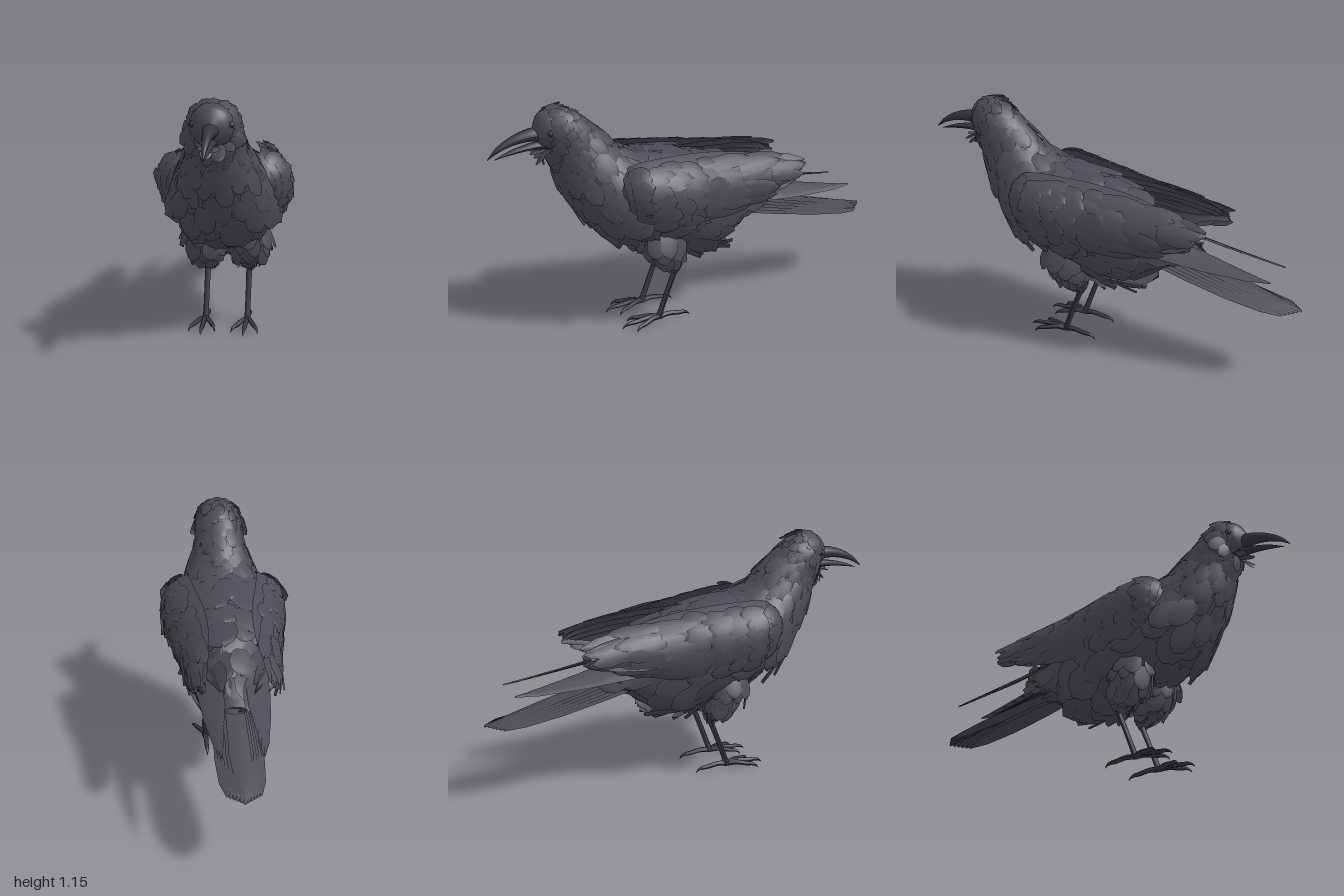
import * as THREE from 'three';
import { mergeGeometries } from 'three/addons/utils/BufferGeometryUtils.js';

const V = (x, y, z) => new THREE.Vector3(x, y, z);
const curve = pts => new THREE.CatmullRomCurve3(pts.map(p => V(...p)));
const plumeMat = new THREE.MeshStandardMaterial({ color: 0x4a4a52, side: THREE.DoubleSide });
const hornMat = new THREE.MeshStandardMaterial({ color: 0x36363a, side: THREE.DoubleSide });

let seed = 7;
const rand = () => (seed = (seed * 16807) % 2147483647) / 2147483647;
const jitter = a => (rand() - 0.5) * 2 * a;

// Surface of elliptical rings along a spine: rows are [x, y, z, halfWidth, halfHeight]
function tubeSurface(rows) {
  const spine = curve(rows.map(r => r.slice(0, 3)));
  const size = curve(rows.map(r => [r[3], r[4], 0]));
  return (u, v) => {
    const c = spine.getPoint(u), t = spine.getTangent(u), s = size.getPoint(u), a = v * Math.PI * 2;
    const n = V(1, 0, 0).cross(t).normalize(), r = t.clone().cross(n);
    return c.addScaledVector(r, s.x * Math.cos(a)).addScaledVector(n, s.y * Math.sin(a));
  };
}

// Grid mesh over any surface function
function skin(surf, nu, nv) {
  const pos = [], uv = [], idx = [];
  for (let i = 0; i <= nu; i++) for (let j = 0; j <= nv; j++) {
    pos.push(...surf(i / nu, j / nv).toArray());
    uv.push(i / nu, j / nv);
    if (i < nu && j < nv) {
      const a = i * (nv + 1) + j, b = a + nv + 1;
      idx.push(a, b, a + 1, b, b + 1, a + 1);
    }
  }
  const g = new THREE.BufferGeometry();
  g.setAttribute('position', new THREE.Float32BufferAttribute(pos, 3));
  g.setAttribute('uv', new THREE.Float32BufferAttribute(uv, 2));
  g.setIndex(idx);
  g.computeVertexNormals();
  return g;
}

// One feather: a ridged, pointed blade from point p along d, facing n
function feather(p, d, n, length, width, bend) {
  const g = new THREE.PlaneGeometry(1, 1, 2, 4), a = g.attributes.position;
  const half = [0.04, 0.34, 0.5, 0.46, 0.32];
  for (let i = 0; i < a.count; i++) {
    const row = Math.floor(i / 3), side = (i % 3) - 1;
    const t = [1, 0.86, 0.6, 0.28, 0][row];
    a.setXYZ(i, side * half[row] * width, t * length,
      (1 - Math.abs(side)) * 0.1 * width - bend * length * t * t);
  }
  g.computeVertexNormals();
  const D = d.clone().normalize(), S = D.clone().cross(n).normalize(), N = S.clone().cross(D);
  return g.applyMatrix4(new THREE.Matrix4().makeBasis(S, D, N).setPosition(p));
}

// Overlapping rows of feathers on a surface; size(u) gives feather length
function plumage(surf, { rows, cols, size, from, to, lift, bend = 0.06, wide = 0.75, v0 = 0, v1 = 1 }) {
  const out = [], e = 0.004;
  for (let i = 0; i < rows; i++) for (let j = 0; j < cols; j++) {
    const u = from + (to - from) * i / (rows - 1) + jitter(0.008);
    const v = v0 + (v1 - v0) * (j + (i % 2 ? 0.5 : 0.1) + jitter(0.15)) / cols;
    const p = surf(u, v);
    const du = surf(u + e, v).sub(surf(u - e, v)).normalize();
    const dv = surf(u, v + e).sub(surf(u, v - e)).normalize();
    const n = du.clone().cross(dv).normalize();
    const d = du.clone().addScaledVector(n, lift + jitter(0.06)).addScaledVector(dv, jitter(0.15));
    const L = size(u) * (1 + jitter(0.2));
    out.push(feather(p.addScaledVector(n, 0.003), d, n, L, L * wide, bend));
  }
  return out;
}

function add(parent, name, parts, mat = plumeMat) {
  const m = new THREE.Mesh(mergeGeometries(parts), mat);
  m.name = name;
  parent.add(m);
}

function buildWing() {
  const top = curve([[.14, .81, .43], [.17, .865, .38], [.15, .87, .2], [.11, .845, -.05], [.11, .80, -.3], [.14, .745, -.47], [.14, .70, -.55]]);
  const mid = curve([[.22, .75, .44], [.28, .77, .39], [.285, .75, .22], [.24, .73, -.05], [.215, .71, -.3], [.19, .70, -.47], [.15, .69, -.55]]);
  const low = curve([[.19, .64, .41], [.245, .60, .36], [.25, .56, .2], [.22, .55, -.05], [.185, .58, -.28], [.16, .65, -.43], [.14, .68, -.55]]);
  const surf = (u, v) => {
    const a = low.getPoint(u), b = mid.getPoint(u), c = top.getPoint(u);
    const k = b.multiplyScalar(2).addScaledVector(a, -0.5).addScaledVector(c, -0.5);
    return a.multiplyScalar((1 - v) ** 2).addScaledVector(k, 2 * v * (1 - v)).addScaledVector(c, v * v);
  };
  const wing = new THREE.Group();
  add(wing, 'wingShell', [skin(surf, 20, 8)]);
  // Small coverts at the shoulder, longer ones behind
  add(wing, 'wingCoverts', [
    ...plumage(surf, { rows: 2, cols: 6, size: () => 0.09, from: 0.05, to: 0.12, lift: -0.12, bend: 0.3, v0: 0.02, v1: 0.92 }),
    ...plumage(surf, { rows: 4, cols: 6, size: () => 0.13, from: 0.23, to: 0.44, lift: 0.02, bend: 0.03, v0: 0.04, v1: 0.88 }),
    ...plumage(surf, { rows: 3, cols: 6, size: u => 0.34 - 0.2 * u, from: 0.46, to: 0.7, lift: 0.02, bend: 0.03, wide: 0.3, v0: 0.05, v1: 0.9 }),
  ]);
  // Long folded flight feathers: inner ones lie beside the tail
  const flight = [];
  for (let i = 0; i < 5; i++) {
    const p = V(.165 - .012 * i, .60 + .012 * i, -.08), tip = V(.09 - .006 * i, .53 + .012 * i, -.86 + .07 * i);
    flight.push(feather(p, tip.clone().sub(p), V(.45, 1, 0), tip.distanceTo(p), .07, 0));
  }
  for (let i = 0; i < 4; i++) {
    const p = V(.22 - .02 * i, .67 + .035 * i, .02), tip = V(.18 - .012 * i, .66 + .025 * i, -.5 - .02 * i);
    flight.push(feather(p, tip.clone().sub(p), V(1, .6, 0), tip.distanceTo(p), .11, 0));
  }
  add(wing, 'flightFeathers', flight);
  return wing;
}

function buildLeg() {
  const leg = new THREE.Group();
  const thigh = tubeSurface([[.11, .56, .20, .05, .09], [.11, .46, .20, .08, .095], [.105, .38, .17, .075, .075], [.1, .32, .14, .035, .035], [.1, .29, .125, .01, .01]]);
  add(leg, 'thigh', [skin(thigh, 10, 12),
    ...plumage(thigh, { rows: 6, cols: 8, size: () => 0.105, from: 0.15, to: 0.62, lift: 0.14 })]);
  const shank = tubeSurface([[.1, .32, .10, .016, .016], [.1, .18, .155, .013, .013], [.1, .06, .20, .013, .014], [.1, .025, .212, .018, .018]]);
  add(leg, 'shank', [skin(shank, 8, 8)], hornMat);
  // Three toes forward and one back, each arched and ending in a claw
  const toes = [[-.063, .145], [0, .195], [.063, .145], [0, -.165]].map(([x, z]) => {
    const at = (k, y, r) => [.1 + x * k, y, .21 + z * k, r, r];
    return skin(tubeSurface([at(0, .03, .014), at(.3, .036, .012), at(.65, .028, .011), at(.8, .027, .009), at(.93, .019, .005), at(1, .006, .001)]), 12, 7);
  });
  add(leg, 'toes', toes, hornMat);
  return leg;
}

export function createModel() {
  const model = new THREE.Group(), bird = new THREE.Group();
  bird.name = 'bird';
  bird.position.x = 0.02;
  model.add(bird);

  // Head, neck, trunk and rump as one skin
  const body = tubeSurface([
    [0, 1.045, .78, .015, .015], [0, 1.045, .75, .07, .07], [0, 1.04, .685, .105, .103],
    [0, .955, .6, .12, .13], [0, .81, .50, .175, .165], [0, .69, .36, .235, .21],
    [0, .63, .15, .235, .22], [0, .565, -.05, .195, .235], [0, .565, -.2, .14, .15],
    [0, .555, -.35, .09, .06], [0, .54, -.46, .05, .02]]);
  add(bird, 'body', [skin(body, 44, 24)]);
  add(bird, 'headFeathers', plumage(body, { rows: 6, cols: 13, size: () => 0.075, from: 0.15, to: 0.28, lift: 0.05, bend: 0.1 }));
  add(bird, 'neckFeathers', plumage(body, { rows: 6, cols: 13, size: u => 0.1 + 0.3 * (u - 0.28), from: 0.3, to: 0.45, lift: 0.08, wide: 0.65 }));
  add(bird, 'bodyFeathers', plumage(body, { rows: 9, cols: 14, size: () => 0.165, from: 0.47, to: 0.85, lift: 0.06, wide: 0.85 }));
  // Loose feathers hanging under the belly
  add(bird, 'bellyFeathers', plumage(body, { rows: 5, cols: 6, size: () => 0.13, from: 0.52, to: 0.78, lift: 0.3, v0: 0.66, v1: 0.84 }));

  // Beak, slightly open
  const upper = tubeSurface([[0, 1.025, .72, .04, .04], [0, 1.028, .80, .031, .03], [0, 1.012, .88, .021, .021], [0, .98, .95, .012, .012], [0, .94, 1.0, .001, .001]]);
  const lower = tubeSurface([[0, .975, .70, .03, .025], [0, .972, .80, .024, .016], [0, .958, .89, .015, .01], [0, .935, .97, .001, .001]]);
  add(bird, 'upperBeak', [skin(upper, 16, 12)], hornMat);
  add(bird, 'lowerBeak', [skin(lower, 12, 10)], hornMat);

  // Tail: layered blades, the middle one longest and on top
  const tail = [];
  for (let i = -5; i <= 5; i++) {
    const k = Math.abs(i);
    const p = V(i * .01, .555 - .013 * k, -.25), tip = V(i * .0145, .373 - .001 * k, -.985 + .014 * k);
    tail.push(feather(p, tip.clone().sub(p), V(i * .02, 1, 0), tip.distanceTo(p), .1, 0));
  }
  add(bird, 'tailFeathers', tail);

  // Paired parts, mirrored
  for (const [side, s] of [['left', 1], ['right', -1]]) {
    const wing = buildWing(), leg = buildLeg();
    wing.name = side + 'Wing';
    leg.name = side + 'Leg';
    const eye = new THREE.Mesh(new THREE.SphereGeometry(.014, 12, 8), hornMat);
    eye.name = side + 'Eye';
    eye.position.set(s * .084, 1.05, .725);
    wing.scale.x = leg.scale.x = s;
    bird.add(wing, leg, eye);
  }
  return model;
}
